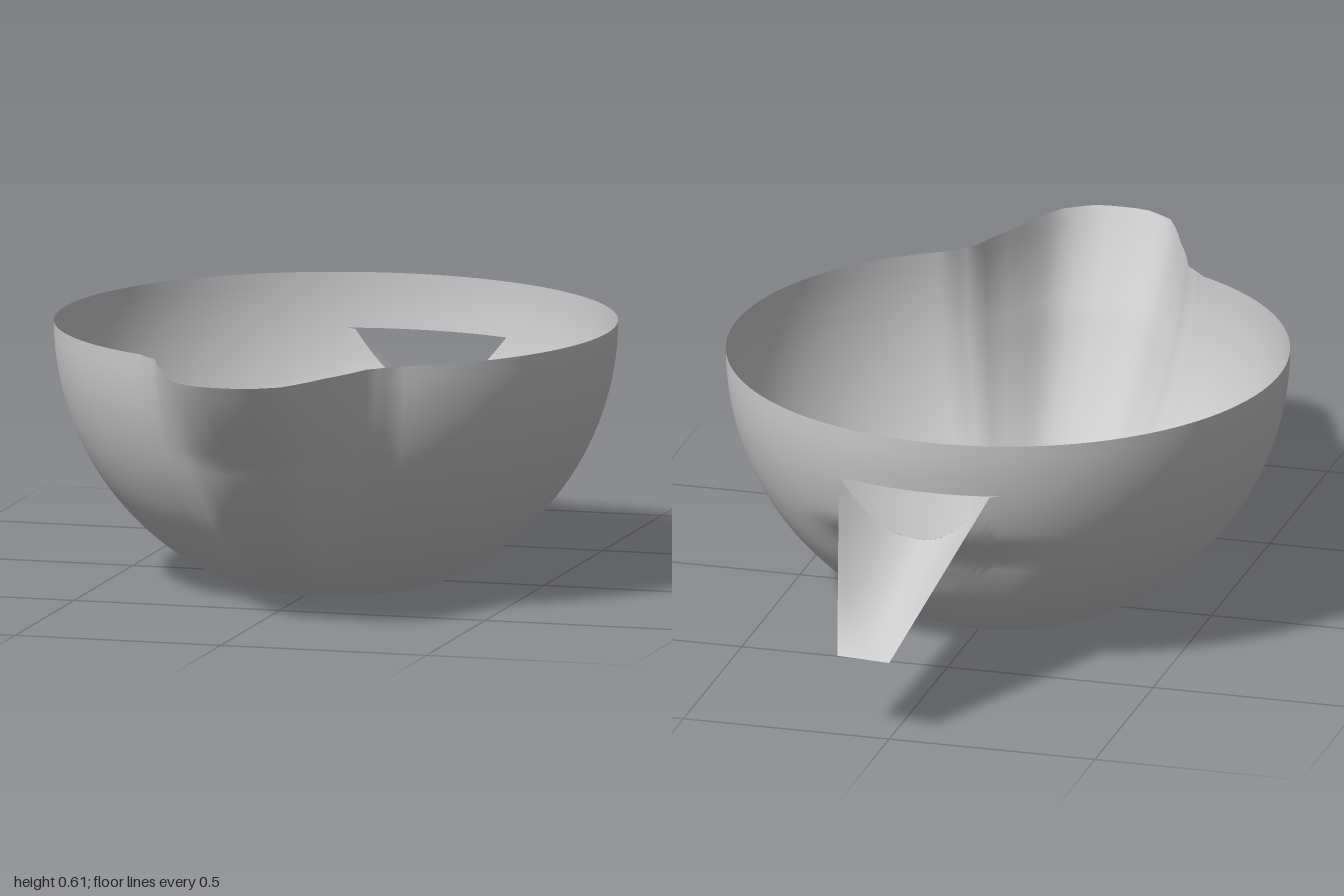
import * as THREE from 'three';
import { mergeVertices } from 'three/addons/utils/BufferGeometryUtils.js';

const RADIUS = 0.66, HEIGHT = 0.61, CENTRE_Z = 0.02;
const SLOT_TOP = 0.48, SLOT_HALF = 0.19, SLOT_ANGLE = Math.PI - 0.085;

// Piecewise linear lookup in [x, value] pairs
function lookup(table, x) {
  if (x <= table[0][0]) return table[0][1];
  for (let i = 1; i < table.length; i++) {
    const [x0, y0] = table[i - 1], [x1, y1] = table[i];
    if (x <= x1) return y0 + (y1 - y0) * (x - x0) / (x1 - x0);
  }
  return table[table.length - 1][1];
}

// Pouring lip: how far it reaches by angle, and how much of that by height
const LIP_REACH = [[0, 0.32], [0.06, 0.32], [0.14, 0.28], [0.25, 0.145], [0.38, 0.03], [0.49, 0]];
const LIP_HEIGHT = [[0, 0.06], [0.05, 0.25], [0.1, 0.34], [0.22, 0.47], [0.4, 0.63], [0.61, 1]];
// Hollow in the wall below the rear chute
const HOLLOW = [[0, 0], [0.1, 0.02], [0.2, 0.045], [0.27, 0.052], [0.31, 0.03], [0.35, 0]];

// Point of the bowl wall at an angle (0 = front) and height
function wall(angle, y) {
  const fromFront = Math.min(angle, 2 * Math.PI - angle);
  const side = (angle - SLOT_ANGLE) * 0.64;
  let r = Math.sqrt(RADIUS ** 2 - (HEIGHT - y) ** 2);
  r += lookup(LIP_REACH, fromFront) * lookup(LIP_HEIGHT, y);
  r -= lookup(HOLLOW, y) * Math.exp(-((side / 0.28) ** 4));
  return new THREE.Vector3(r * Math.sin(angle), y, CENTRE_Z + r * Math.cos(angle));
}

// Upper edge of the lower wall, dipping to form the slot
function slotEdge(angle) {
  const q = (angle - SLOT_ANGLE) * 0.64 / SLOT_HALF;
  return SLOT_TOP - 0.14 * Math.max(0, 1 - q * q);
}

// Surface through a grid of points, with chosen rows of faces left open
function surface(rows, cols, point, openRow = -1) {
  const pos = [], index = [];
  for (let i = 0; i <= rows; i++)
    for (let j = 0; j <= cols; j++) pos.push(...point(i, j).toArray());
  for (let i = 0; i < rows; i++) {
    if (i === openRow) continue;
    for (let j = 0; j < cols; j++) {
      const a = i * (cols + 1) + j, b = a + 1, c = a + cols + 1, d = c + 1;
      index.push(a, b, d, a, d, c);
    }
  }
  let geo = new THREE.BufferGeometry();
  geo.setAttribute('position', new THREE.Float32BufferAttribute(pos, 3));
  geo.setIndex(index);
  geo = mergeVertices(geo, 1e-5);
  geo.computeVertexNormals();
  return geo;
}

export function createModel() {
  const group = new THREE.Group();
  const material = new THREE.MeshStandardMaterial({ color: 0xcccccc, side: THREE.DoubleSide });
  const add = (name, geo) => {
    const mesh = new THREE.Mesh(geo, material);
    mesh.name = name;
    group.add(mesh);
  };

  // Bowl: domed floor, round wall with pouring lip, and rim band above the slot
  const FLOOR = 16, WALL = 24, BAND = 4, COLS = 180;
  add('bowl', surface(FLOOR + WALL + BAND + 1, COLS, (i, j) => {
    const angle = (j % COLS) / COLS * 2 * Math.PI;
    if (i < FLOOR) {
      const p = wall(angle, 0).sub(new THREE.Vector3(0, 0, CENTRE_Z)).multiplyScalar(i / FLOOR);
      const q = Math.min(1, Math.hypot(p.x, p.z) / 0.17);
      p.y = 0.055 * (1 + Math.cos(Math.PI * q));
      p.z += CENTRE_Z * i / FLOOR;
      return p;
    }
    if (i <= FLOOR + WALL) {
      const t = (i - FLOOR) / WALL;
      return wall(angle, slotEdge(angle) * t ** 1.4);
    }
    const t = (i - FLOOR - WALL - 1) / BAND;
    return wall(angle, SLOT_TOP + (HEIGHT - SLOT_TOP) * t);
  }, FLOOR + WALL));

  // Rear chute: trough from the slot edge that flattens towards its tip
  const ACROSS = 24, ALONG = 12;
  add('rearChute', surface(ALONG, ACROSS, (i, j) => {
    const u = j / ACROSS * 2 - 1;
    const angle = SLOT_ANGLE + u * SLOT_HALF / 0.64;
    const tip = new THREE.Vector3(0.065 - 0.065 * u, 0.19, -0.993 - 0.007 * u);
    return wall(angle, slotEdge(angle)).lerp(tip, i / ALONG);
  }));

  return group;
}
